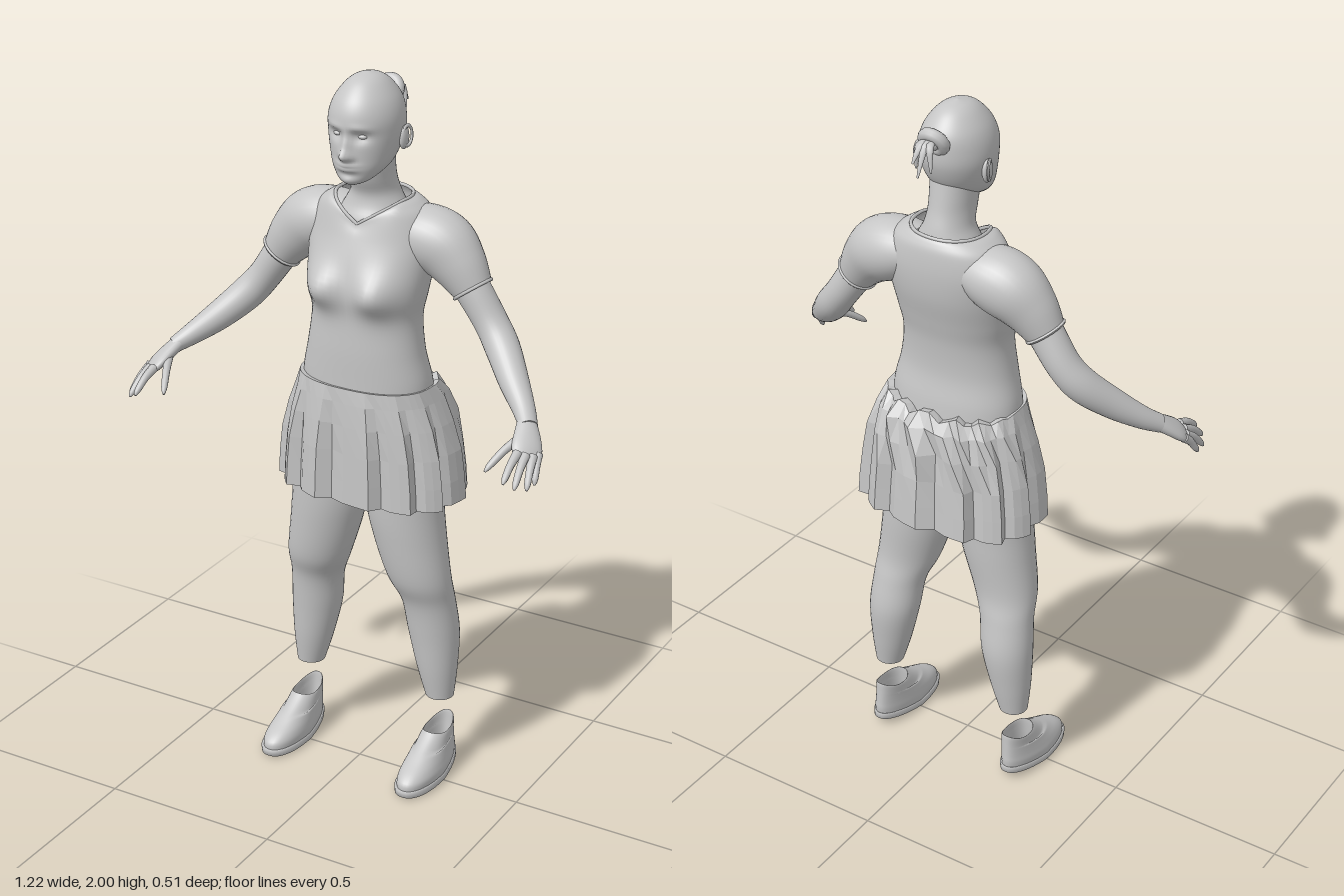
import * as THREE from 'three';

const grey = new THREE.MeshStandardMaterial({ color: 0xc6c6c6, side: THREE.DoubleSide });
grey.name = 'plain grey';
const greyFaceted = grey.clone();
greyFaceted.flatShading = true;
const V = (x, y, z) => new THREE.Vector3(x, y, z);
const bell = (d, s) => Math.exp(-(d * d) / (2 * s * s));

// smooth resampling of profile rows into n + 1 rows
function resample(rows, n) {
  return Array.from({ length: n + 1 }, (_, k) => {
    const f = (k / n) * (rows.length - 1), i = Math.min(Math.floor(f), rows.length - 2), t = f - i;
    const at = (j) => rows[Math.max(0, Math.min(rows.length - 1, j))];
    return rows[0].map((_, c) => {
      const [a, b, d, e] = [at(i - 1)[c], at(i)[c], at(i + 1)[c], at(i + 2)[c]];
      return b + 0.5 * t * (d - a + t * (2 * a - 5 * b + 4 * d - e + t * (3 * (b - d) + e - a)));
    });
  });
}

// skin a list of closed rings, with optional flat end caps
function skin(rings, capStart = false, capEnd = false) {
  const n = rings[0].length, pos = [], idx = [];
  rings.forEach((r) => r.forEach((p) => pos.push(p.x, p.y, p.z)));
  for (let i = 0; i < rings.length - 1; i++) for (let j = 0; j < n; j++) {
    const a = i * n + j, b = i * n + ((j + 1) % n), c = b + n, d = a + n;
    idx.push(a, b, d, b, c, d);
  }
  const cap = (ring, flip) => {
    const base = pos.length / 3, mid = V(0, 0, 0);
    ring.forEach((p) => { pos.push(p.x, p.y, p.z); mid.addScaledVector(p, 1 / n); });
    pos.push(mid.x, mid.y, mid.z);
    for (let j = 0; j < n; j++) {
      const a = base + j, b = base + ((j + 1) % n);
      idx.push(...(flip ? [b, a, base + n] : [a, b, base + n]));
    }
  };
  if (capStart) cap(rings[0], true);
  if (capEnd) cap(rings[rings.length - 1], false);
  const g = new THREE.BufferGeometry();
  g.setAttribute('position', new THREE.Float32BufferAttribute(pos, 3));
  g.setIndex(idx);
  g.computeVertexNormals();
  return g;
}

// level rings from rows [y, halfWidth, zFront, zBack, centreX, extra]; power < 1 is boxier
function stack(rows, segs, n, power = 1, warp = () => {}) {
  const bend = (v) => Math.sign(v) * Math.abs(v) ** power;
  return resample(rows, n).map((r) => Array.from({ length: segs }, (_, j) => {
    const t = (j / segs) * Math.PI * 2, [y, rx, zf, zb, cx = 0] = r;
    const p = V(cx + rx * bend(Math.sin(t)), y, (zf + zb) / 2 + ((zf - zb) / 2) * bend(Math.cos(t)));
    warp(p, t, r, j);
    return p;
  }));
}

// rings along a path of rows [x, y, z, radiusAcross, radiusTowardsRef]
function limb(rows, segs, n, ref = V(0, 0, 1)) {
  const rs = resample(rows, n), c = rs.map((r) => V(r[0], r[1], r[2]));
  return rs.map((r, i) => {
    const T = c[Math.min(i + 1, n)].clone().sub(c[Math.max(i - 1, 0)]).normalize();
    const Z = ref.clone().addScaledVector(T, -ref.dot(T)).normalize(), X = T.clone().cross(Z);
    return Array.from({ length: segs }, (_, j) => {
      const t = (j / segs) * Math.PI * 2;
      return c[i].clone().addScaledVector(X, r[3] * Math.sin(t)).addScaledVector(Z, r[4] * Math.cos(t));
    });
  });
}

const trim = (ring, r) => new THREE.TubeGeometry(new THREE.CatmullRomCurve3(ring, true), 64, r, 6, true);
const ball = (x, y, z, sx, sy, sz) => new THREE.SphereGeometry(1, 20, 14).scale(sx, sy, sz).translate(x, y, z);

function mirrored(g) {
  const m = g.clone().scale(-1, 1, 1), ix = m.index.array;
  for (let i = 0; i < ix.length; i += 3) [ix[i], ix[i + 1]] = [ix[i + 1], ix[i]];
  m.computeVertexNormals();
  return m;
}

export function createModel() {
  const model = new THREE.Group();
  model.name = 'standingWoman';
  const add = (name, geo, mat = grey) => {
    const m = new THREE.Mesh(geo, mat);
    m.name = name;
    model.add(m);
  };
  const pair = (name, geo) => { add(name + 'Left', geo); add(name + 'Right', mirrored(geo)); };

  // head with nose, brow, eye sockets, lips and chin pushed out of the surface
  add('head', skin(stack([
    [1.722, 0.012, 0.05, 0.02], [1.735, 0.042, 0.064, -0.02], [1.765, 0.071, 0.07, -0.09],
    [1.80, 0.086, 0.07, -0.125], [1.85, 0.097, 0.07, -0.147], [1.895, 0.096, 0.073, -0.15],
    [1.935, 0.083, 0.06, -0.142], [1.97, 0.058, 0.031, -0.115], [1.99, 0.033, 0, -0.085], [2.0, 0.001, -0.044, -0.046],
  ], 72, 72, 1, (p, t) => {
    if (Math.cos(t) <= 0) return;
    const x = Math.abs(p.x), y = p.y;
    p.z += 0.024 * bell(x, 0.01) * bell(y - 1.805, 0.011) + 0.013 * bell(x, 0.009) * bell(y - 1.832, 0.02)
      + 0.006 * bell(x - 0.015, 0.006) * bell(y - 1.802, 0.007)
      - 0.013 * bell(x - 0.035, 0.016) * bell(y - 1.855, 0.011) + 0.005 * bell(x - 0.035, 0.02) * bell(y - 1.877, 0.007)
      + 0.009 * bell(x, 0.019) * (bell(y - 1.781, 0.004) + bell(y - 1.769, 0.005)) - 0.004 * bell(x, 0.02) * bell(y - 1.753, 0.006)
      + 0.004 * bell(x, 0.014) * bell(y - 1.737, 0.009);
  }), true, true));
  pair('eye', ball(0.035, 1.855, 0.046, 0.014, 0.007, 0.011));
  pair('ear', ball(0.097, 1.835, -0.058, 0.011, 0.032, 0.019).rotateX(0));
  pair('earRim', new THREE.TorusGeometry(0.019, 0.004, 8, 24).scale(0.8, 1.4, 1).rotateY(1.2).translate(0.105, 1.84, -0.061));

  // hair knot with loose ends
  add('hairKnot', new THREE.TorusGeometry(0.027, 0.017, 10, 28).rotateX(-0.5).translate(0, 1.925, -0.15));
  add('hairKnotCore', ball(0, 1.927, -0.155, 0.023, 0.023, 0.018));
  [[-0.025, 1.865, -0.2], [0, 1.855, -0.222], [0.02, 1.885, -0.215], [0.03, 1.86, -0.185]].forEach(([x, y, z], i) =>
    add('hairEnd' + (i + 1), skin(limb([[0, 1.93, -0.155, 0.006, 0.008], [x * 0.6, 1.925, -0.19, 0.007, 0.011],
      [x, y, z, 0.002, 0.003]], 8, 8, V(1, 0, 0)), true, true)));

  // neck and upper chest
  add('neck', skin(stack([
    [1.56, 0.11, 0.015, -0.165], [1.61, 0.1, 0.008, -0.165], [1.645, 0.082, -0.008, -0.16],
    [1.68, 0.064, -0.012, -0.152], [1.72, 0.059, 0.005, -0.14], [1.76, 0.06, 0.012, -0.132], [1.8, 0.06, 0, -0.125],
  ], 40, 24)));

  // shirt body; the sixth column lowers the front into a V neckline
  const body = stack([
    [1.12, 0.188, 0.07, -0.165, 0, 0], [1.18, 0.184, 0.07, -0.158, 0, 0], [1.26, 0.166, 0.07, -0.145, 0, 0],
    [1.35, 0.155, 0.067, -0.15, 0, 0], [1.42, 0.166, 0.07, -0.165, 0, 0], [1.5, 0.176, 0.058, -0.185, 0, 0],
    [1.57, 0.178, 0.035, -0.192, 0, 0], [1.63, 0.158, 0.022, -0.188, 0, 0.035],
    [1.657, 0.128, 0.018, -0.178, 0, 0.052], [1.668, 0.102, 0.015, -0.168, 0, 0.062],
  ], 64, 54, 0.92, (p, t, r) => {
    if (Math.cos(t) <= 0) return;
    p.z += 0.042 * bell(Math.abs(p.x) - 0.082, 0.04) * bell(p.y - 1.435, 0.038);
    p.y -= r[5] * Math.max(0, 1 - Math.abs(p.x) / 0.1);
  });
  add('shirtBody', skin(body));
  add('collarTrim', trim(body[body.length - 1], 0.005));

  // sleeves
  const sleeve = limb([
    [0.07, 1.585, -0.095, 0.06, 0.075], [0.14, 1.57, -0.095, 0.083, 0.088], [0.2, 1.548, -0.094, 0.088, 0.085],
    [0.25, 1.503, -0.088, 0.074, 0.068], [0.29, 1.45, -0.083, 0.055, 0.051],
  ], 32, 24);
  pair('sleeve', skin(sleeve));
  pair('sleeveTrim', trim(sleeve[sleeve.length - 1], 0.005));

  // arms
  pair('arm', skin(limb([
    [0.24, 1.51, -0.086, 0.053, 0.05], [0.29, 1.448, -0.084, 0.049, 0.047], [0.345, 1.37, -0.082, 0.045, 0.046],
    [0.39, 1.315, -0.062, 0.046, 0.046], [0.45, 1.255, -0.01, 0.04, 0.04], [0.505, 1.208, 0.04, 0.03, 0.031],
    [0.54, 1.18, 0.08, 0.022, 0.026],
  ], 28, 36), false, true));

  // hands: palm, four fingers and a thumb
  pair('palm', skin(limb([
    [0.53, 1.188, 0.07, 0.02, 0.025], [0.548, 1.165, 0.102, 0.019, 0.035], [0.563, 1.142, 0.132, 0.017, 0.041],
    [0.574, 1.122, 0.155, 0.009, 0.034],
  ], 20, 14, V(-0.66, 0.1, 0.75)), true, true));
  const fingers = {
    littleFinger: [0.59, 1.13, 0.122, 0.606, 1.068, 0.172], ringFinger: [0.584, 1.13, 0.14, 0.602, 1.066, 0.208],
    middleFinger: [0.57, 1.135, 0.154, 0.582, 1.076, 0.238], indexFinger: [0.552, 1.14, 0.163, 0.556, 1.09, 0.25],
    thumb: [0.535, 1.16, 0.115, 0.487, 1.095, 0.215],
  };
  for (const [name, [x, y, z, u, v, w]] of Object.entries(fingers)) {
    const at = (k, lift, r) => [x + (u - x) * k, y + (v - y) * k + lift, z + (w - z) * k, r, r];
    pair(name, skin(limb([at(0, 0, 0.013), at(0.45, 0.008, 0.0105), at(0.85, 0.004, 0.0085), at(1, 0, 0.003)],
      10, 12, V(1, 0, 0)), true, true));
  }

  // pleated skirt with rumpled cloth at the back
  add('skirt', skin(stack([
    [1.16, 0.165, 0.06, -0.15], [1.166, 0.192, 0.082, -0.185], [1.125, 0.207, 0.086, -0.215], [1.06, 0.229, 0.089, -0.228],
    [0.98, 0.247, 0.09, -0.233], [0.9, 0.256, 0.091, -0.238], [0.835, 0.26, 0.092, -0.242],
  ].reverse(), 52, 6, 0.82, (p, t, r, j) => {
    const low = Math.min(1, (1.166 - r[0]) / 0.2), back = Math.max(0, -Math.cos(t));
    const fold = [0, 0.006, 0.012, -0.014][j % 4] * Math.max(0, low);
    const rumple = back * bell(r[0] - 1.09, 0.05) * 0.016 * Math.sin(j * 2.3 + r[0] * 40);
    p.x += Math.sin(t) * (fold + rumple);
    p.z += Math.cos(t) * (fold + rumple);
    if (r[0] > 1.15) p.y -= back * 0.012 * (1 + Math.sin(j * 1.9));
  })), greyFaceted);

  // legs, ending above the ankles
  pair('leg', skin(stack([
    [0.22, 0.04, -0.045, -0.125, 0.21], [0.31, 0.058, -0.03, -0.142, 0.2], [0.42, 0.073, -0.018, -0.155, 0.188],
    [0.52, 0.077, -0.003, -0.142, 0.177], [0.6, 0.092, 0.028, -0.13, 0.158], [0.72, 0.104, 0.046, -0.138, 0.131],
    [0.83, 0.11, 0.055, -0.145, 0.115], [1.0, 0.11, 0.06, -0.165, 0.11],
  ], 36, 40), true, true));

  // shoes: sole and upper, raised towards the heel and narrower there
  const shape = (p) => {
    p.x += (p.x - 0.218) * (p.z < 0 ? p.z * 1.3 : 0);
    p.y += Math.max(0, -p.z) * 0.14;
  };
  pair('shoeSole', skin(stack([
    [0, 0.05, 0.133, -0.13, 0.218], [0.004, 0.057, 0.143, -0.138, 0.218], [0.02, 0.058, 0.145, -0.139, 0.218], [0.022, 0.052, 0.138, -0.135, 0.218],
  ], 44, 3, 0.85, shape), true, true));
  pair('shoeUpper', skin(stack([
    [0.018, 0.053, 0.138, -0.134, 0.218], [0.038, 0.054, 0.136, -0.136, 0.218], [0.056, 0.051, 0.115, -0.135, 0.217],
    [0.076, 0.047, 0.075, -0.134, 0.216], [0.1, 0.043, 0.03, -0.133, 0.215], [0.124, 0.04, -0.01, -0.132, 0.215],
    [0.124, 0.036, -0.016, -0.128, 0.215], [0.09, 0.034, -0.014, -0.125, 0.215], [0.05, 0.03, -0.01, -0.12, 0.215],
  ], 44, 32, 0.9, (p, t, r) => {
    shape(p);
    if (r[0] > 0.09) p.y -= 0.012 * Math.sin(t) ** 2;
  }), false, true));
  return model;
}
